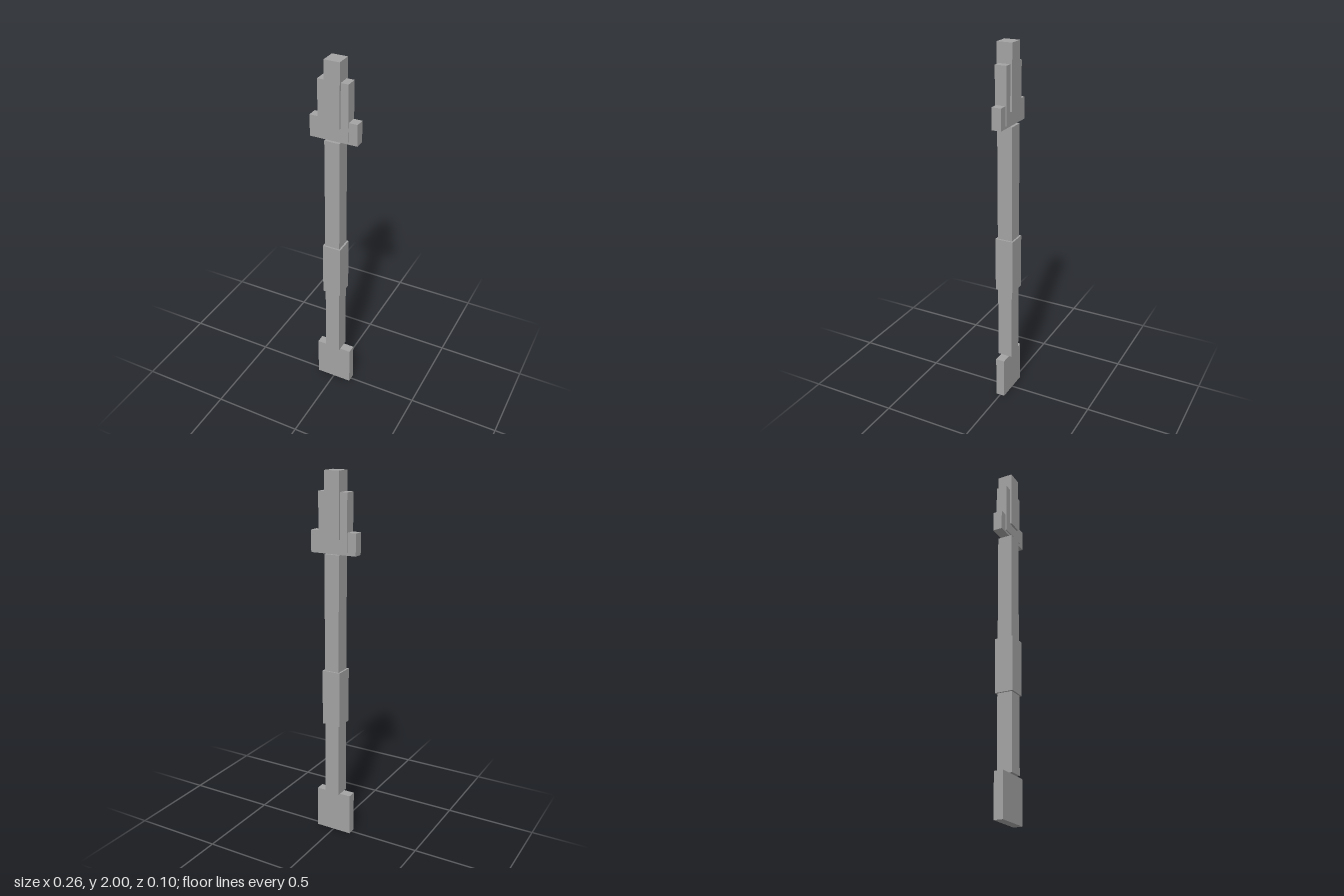
import * as THREE from 'three';

export function createModel() {
  const model = new THREE.Group();
  const grey = new THREE.MeshStandardMaterial({ color: 0xa3a3a3 });
  grey.name = 'grey';

  // Centred block spanning bottom to top, given its width and depth
  const block = (name, width, depth, bottom, top) => {
    const mesh = new THREE.Mesh(new THREE.BoxGeometry(width, top - bottom, depth), grey);
    mesh.name = name;
    mesh.position.y = (bottom + top) / 2;
    model.add(mesh);
  };

  // Flat foot, square shaft and thicker grip
  block('footPlate', 0.206, 0.05, 0, 0.235);
  block('lowerShaft', 0.084, 0.084, 0.235, 0.655);
  block('grip', 0.103, 0.103, 0.655, 0.96);
  block('upperShaft', 0.084, 0.084, 0.96, 1.585);

  // Stepped head: wide crossbar, shoulder plate and central tip
  block('crossbar', 0.26, 0.053, 1.585, 1.70);
  block('shoulderPlate', 0.166, 0.063, 1.60, 1.897);
  block('tip', 0.084, 0.084, 1.663, 2);

  return model;
}
